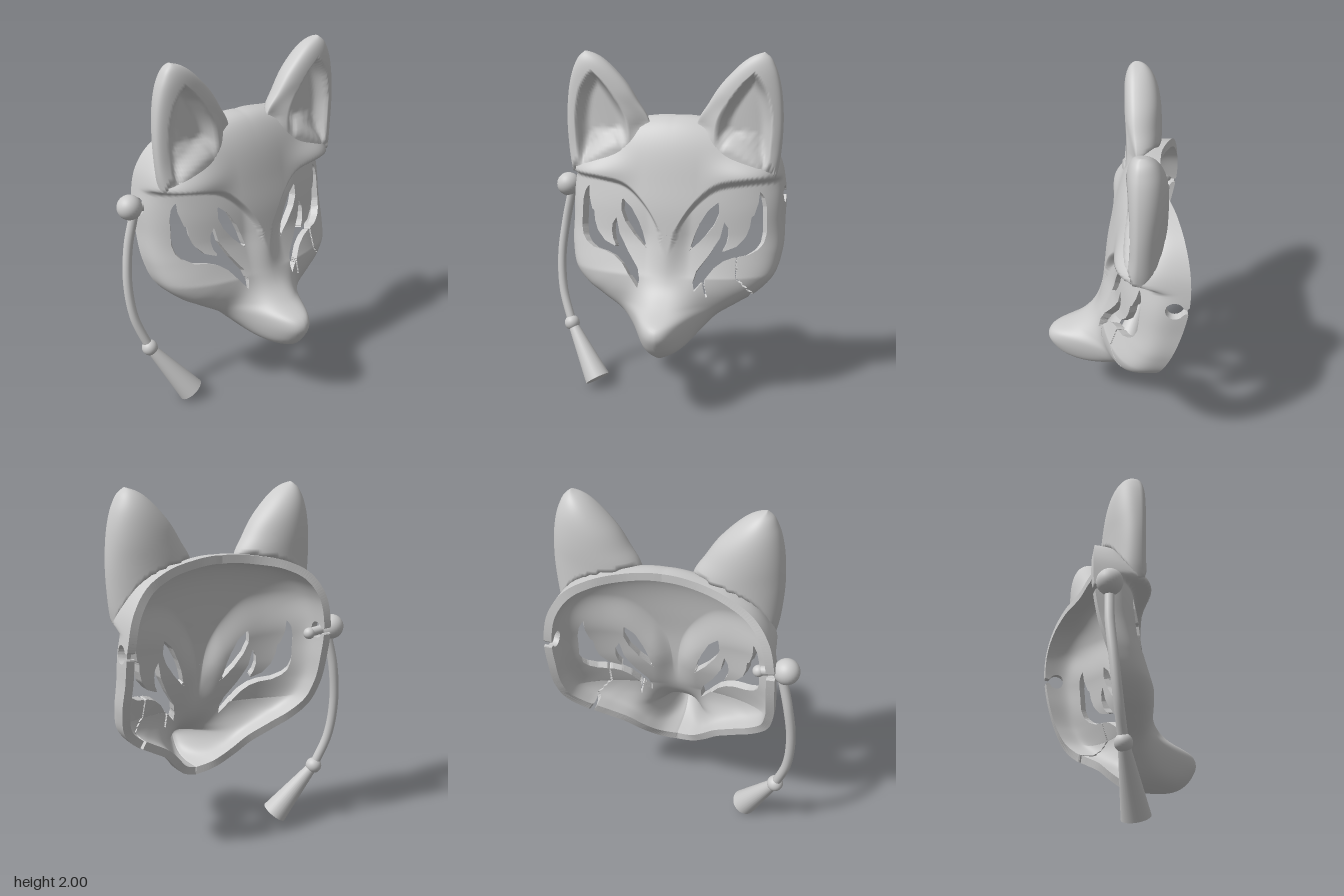
import * as THREE from 'three';
import { mergeVertices } from 'three/addons/utils/BufferGeometryUtils.js';

const MID = 0.06; // x of the mask's symmetry plane
const CY = 1.0; // height of the mask's centre
const WALL = 0.045; // shell thickness
const grey = new THREE.MeshStandardMaterial({ color: 0xcccccc });
const { smoothstep, lerp, clamp } = THREE.MathUtils;

// Smooth lookup through [key, a, b] points with ascending keys
function table(points) {
  const s = new THREE.CatmullRomCurve3(points.map(([k, a, b = 0]) => new THREE.Vector3(k, a, b))).getPoints(240);
  return (key) => {
    let lo = 0, hi = s.length - 1;
    while (hi - lo > 1) {
      const m = (lo + hi) >> 1;
      if (s[m].x <= key) lo = m; else hi = m;
    }
    const t = clamp((key - s[lo].x) / (s[hi].x - s[lo].x || 1), 0, 1);
    return { a: lerp(s[lo].y, s[hi].y, t), b: lerp(s[lo].z, s[hi].z, t) };
  };
}

// Rim of the mask from crown to chin: half width, height, depth
const rim = table([
  [0, 1.64, -0.24], [0.2, 1.625, -0.26], [0.37, 1.59, -0.31], [0.5, 1.52, -0.345], [0.585, 1.4, -0.37],
  [0.62, 1.25, -0.375], [0.625, 1.05, -0.345], [0.62, 0.87, -0.29], [0.585, 0.75, -0.24], [0.5, 0.66, -0.19],
  [0.4, 0.6, -0.15], [0.28, 0.53, -0.105], [0.2, 0.455, -0.06], [0.1, 0.365, 0.01], [0, 0.328, 0.05],
].map(([x, y, z]) => [Math.atan2(x, y - CY), Math.hypot(x, y - CY), z]));

// Centre-line depth by height, and brow height by distance from the middle
const profile = table([[0.33, 0.4], [0.43, 0.415], [0.5, 0.415], [0.55, 0.38], [0.61, 0.23], [0.68, 0.135],
  [0.76, 0.09], [0.92, 0.06], [1.13, 0.037], [1.29, 0.01], [1.5, -0.02], [1.65, -0.05]]);
const brow = table([[0, 0.9], [0.03, 0.97], [0.06, 1.06], [0.15, 1.19], [0.26, 1.28], [0.4, 1.31], [0.63, 1.325]]);

// Depth of the face before it rolls back into the side walls; the lining has no brow bulge and a softer step
function faceDepth(dx, y, lining = false) {
  const c = profile(y).a, base = Math.min(c, 0.09);
  const muzzle = (c - base) * Math.exp(-Math.pow(dx / 0.16, 2.7));
  const below = brow(dx).a - y;
  const step = lining ? smoothstep(below, -0.1, 0.15) : smoothstep(below, 0, 0.04);
  const socket = 0.05 * step * smoothstep(y, 0.65, 1) * smoothstep(dx, 0, 0.13);
  const bulge = lining ? 0 : 0.12 * smoothstep(dx, 0.15, 0.65) * Math.exp(-(((y - 1.33) / 0.1) ** 2)) * (1 - step);
  return base - 0.25 * dx * dx + muzzle - socket + bulge;
}

// Flat disc of radius 2 to mask surface: inner half is the face, outer half the wall
function surface(p, q, lining = false) {
  const r = Math.hypot(p, q);
  const edge = rim(Math.atan2(Math.abs(p), q));
  const k = r <= 1 ? r : 2 - r;
  const major = 1 / Math.pow(1 + k ** 4, 0.25), minor = k * major;
  const [rho, h] = r <= 1 ? [minor, major] : [major, minor];
  const s = r > 0 ? (rho * edge.a) / r : 0;
  const x = p * s, y = CY + q * s;
  return new THREE.Vector3(x, y, edge.b + (faceDepth(Math.abs(x), y, lining) - edge.b) * h);
}

function innerSurface(p, q) {
  const e = 0.01, o = surface(p, q, true);
  const u = surface(p + e, q, true).sub(surface(p - e, q, true));
  const v = surface(p, q + e, true).sub(surface(p, q - e, true));
  return o.addScaledVector(u.cross(v).normalize(), -WALL);
}

// Depth of the mask seen straight from the front
function frontDepth(x, y) {
  const edge = rim(Math.atan2(Math.abs(x), y - CY));
  const rho = Math.hypot(x, y - CY) / edge.a;
  return rho >= 1 ? -9 : edge.b + (faceDepth(Math.abs(x), y) - edge.b) * Math.pow(1 - rho ** 4, 0.25);
}

// Eye opening with hanging tufts, and the slit beside the nose
const eyeHoles = [
  [[0.496, 1.236], [0.522, 1.2], [0.535, 1.146], [0.54, 0.997], [0.528, 0.945], [0.5, 0.912], [0.449, 0.886],
    [0.37, 0.875], [0.316, 0.857], [0.265, 0.82], [0.22, 0.762], [0.163, 0.69], [0.153, 0.743], [0.168, 0.8],
    [0.232, 0.886], [0.29, 0.981], [0.311, 1.072], [0.335, 1.03], [0.338, 0.99], [0.327, 0.944], [0.3, 0.902],
    [0.38, 0.932], [0.43, 0.985], [0.45, 1.04], [0.456, 1.095], [0.47, 1.1], [0.491, 1.172]],
  [[0.279, 1.183], [0.221, 1.135], [0.175, 1.06], [0.15, 1.0], [0.121, 0.907], [0.2, 0.98], [0.255, 1.05], [0.282, 1.114]],
];
const cracks = [
  [[0.385, 0.89], [0.39, 0.76], [0.415, 0.735], [0.472, 0.665], [0.44, 0.6]],
  [[0.215, 0.77], [0.213, 0.72], [0.229, 0.66]],
];

function segmentDistance(x, y, [ax, ay], [bx, by]) {
  const dx = bx - ax, dy = by - ay;
  const t = clamp(((x - ax) * dx + (y - ay) * dy) / (dx * dx + dy * dy), 0, 1);
  return Math.hypot(x - ax - dx * t, y - ay - dy * t);
}

function outsidePolygon(x, y, poly) {
  let d = 9, inside = false;
  poly.forEach((a, i) => {
    const b = poly[(i + 1) % poly.length];
    d = Math.min(d, segmentDistance(x, y, a, b));
    if (a[1] > y !== b[1] > y && x < a[0] + ((y - a[1]) * (b[0] - a[0])) / (b[1] - a[1])) inside = !inside;
  });
  return inside ? -d : d;
}

// Positive where there is material
function material(p, q) {
  const r = Math.hypot(p, q), { x, y, z } = surface(p, q);
  let f = (2 - r) * 0.3;
  for (const hole of eyeHoles) f = Math.min(f, outsidePolygon(Math.abs(x), y, hole));
  for (const c of cracks) for (let i = 1; i < c.length; i++) f = Math.min(f, segmentDistance(x, y, c[i - 1], c[i]) - 0.006);
  if (r > 1) { // cord hole, slotted through to the rim
    f = Math.min(f, Math.hypot(y - 1.195, z + 0.3) - 0.048);
    if (z < -0.3) f = Math.min(f, Math.abs(y - 1.195) - 0.014);
  }
  return f;
}

function mesh(name, geometry, parent) {
  const m = new THREE.Mesh(geometry, grey);
  m.name = name;
  parent.add(m);
  return m;
}

function fromTriangles(vectors, smooth) {
  let g = new THREE.BufferGeometry().setFromPoints(vectors);
  if (smooth) g = mergeVertices(g, 1e-5);
  g.computeVertexNormals();
  return g;
}

// Shell: a polar grid clipped against the openings, with an inner skin and cut edges
function buildShell(parent) {
  const NA = 280, NR = 96, outer = [], inner = [], edges = [], grid = [];
  for (let j = 0; j <= NR; j++) for (let i = 0; i < NA; i++) {
    const a = (i / NA) * Math.PI * 2, r = 0.002 + (j / NR) * 2.02;
    const p = r * Math.cos(a), q = r * Math.sin(a);
    grid.push({ p, q, f: material(p, q) });
  }
  const clip = (tri) => {
    const poly = [];
    tri.forEach((a, i) => {
      const b = tri[(i + 1) % 3];
      if (a.f >= 0) poly.push(a);
      if (a.f >= 0 !== b.f >= 0) {
        const t = a.f / (a.f - b.f);
        poly.push({ p: lerp(a.p, b.p, t), q: lerp(a.q, b.q, t), cut: a.f >= 0 ? 1 : 2 });
      }
    });
    const o = poly.map((v) => surface(v.p, v.q)), n = poly.map((v) => innerSurface(v.p, v.q));
    for (let i = 2; i < poly.length; i++) {
      outer.push(o[0], o[i - 1], o[i]);
      inner.push(n[0], n[i], n[i - 1]);
    }
    const a = poly.findIndex((v) => v.cut === 1), b = poly.findIndex((v) => v.cut === 2);
    if (a >= 0 && b >= 0) edges.push(o[b], o[a], n[a], o[b], n[a], n[b]);
  };
  for (let j = 0; j < NR; j++) for (let i = 0; i < NA; i++) {
    const k = (i + 1) % NA;
    const [a, b, c, d] = [grid[j * NA + i], grid[(j + 1) * NA + i], grid[(j + 1) * NA + k], grid[j * NA + k]];
    clip([a, b, c]);
    clip([a, c, d]);
  }
  mesh('maskFace', fromTriangles(outer, true), parent);
  mesh('maskLining', fromTriangles(inner, true), parent);
  mesh('maskEdges', fromTriangles(edges, false), parent);
}

// Ear outline and hollow by height: inner side, outer side
const earInner = table([[1.3, 0.26], [1.4, 0.17], [1.5, 0.13], [1.62, 0.14], [1.72, 0.2], [1.82, 0.265], [1.94, 0.38], [1.98, 0.44], [2, 0.5]]);
const earOuter = table([[1.3, 0.58], [1.4, 0.6], [1.6, 0.615], [1.77, 0.605], [1.87, 0.585], [1.925, 0.565], [1.97, 0.54], [2, 0.505]]);
const hollow = table([[1.3, 0.47, 0.5], [1.37, 0.33, 0.535], [1.45, 0.28, 0.545], [1.53, 0.255, 0.553], [1.63, 0.265, 0.555],
  [1.77, 0.345, 0.53], [1.85, 0.41, 0.485], [1.89, 0.45, 0.45], [2, 0.5, 0.4]]);

function earGeometry(side) {
  const N = 96, ROWS = 50, pos = [], index = [];
  for (let j = 0; j <= ROWS; j++) {
    const y = 1.3 + 0.7 * Math.sin((j / ROWS) * Math.PI / 2);
    const xi = earInner(y).a, xo = earOuter(y).a, cav = hollow(y);
    const t = Math.max(0, (y - 1.62) / 0.38);
    const front = 0.07 * Math.sqrt(Math.max(0, 1 - t ** 6)) + 0.015 * smoothstep(1.5 - y, 0, 0.2);
    const back = 0.14 * Math.sqrt(Math.max(0, 1 - t ** 3));
    const depth = 0.08 * smoothstep(y, 1.32, 1.45), skirt = smoothstep(1.78 - y, 0, 0.25);
    for (let i = 0; i < N; i++) {
      const a = (i / N) * Math.PI * 2, s = Math.sin(a);
      const x = (xi + xo) / 2 + ((xo - xi) / 2) * Math.cos(a);
      const skin = frontDepth(x, y) - 0.02; // the base stops inside the shell
      let z = -0.125 + (s > 0 ? front * Math.pow(s, 0.7) : back * s);
      if (s > 0) {
        // Inner side fades into the forehead, foot fades into the brow
        z = lerp(z, Math.max(skin, -0.125), skirt * (1 - smoothstep(x - xi, 0, 0.15)));
        if (skin > -0.125) z = lerp(skin, z, smoothstep(y, 1.3, 1.4));
        // Hollow with a rounded pad low in it
        const inset = clamp(Math.min(x - cav.a, cav.b - x) / 0.07, 0, 1);
        const pad = 0.025 * Math.sqrt(Math.max(0, 1 - ((x - 0.4) ** 2 + (y - 1.44) ** 2) / 0.0144));
        z = Math.min(z, Math.max(z - depth * inset * (2 - inset), skin + 0.024) + pad);
      }
      z = j === 0 && skin > -1 ? skin : Math.max(z, skin);
      pos.push(side * x, y, z);
      if (j < ROWS) {
        const p = j * N + i, q = j * N + ((i + 1) % N);
        if (side > 0) index.push(p, p + N, q, q, p + N, q + N);
        else index.push(p, q, p + N, q, q + N, p + N);
      }
    }
  }
  const g = new THREE.BufferGeometry();
  g.setAttribute('position', new THREE.Float32BufferAttribute(pos, 3));
  g.setIndex(index);
  g.computeVertexNormals();
  return g;
}

// Cylinder or cone between two points
function rod(name, from, to, r0, r1, parent) {
  const a = new THREE.Vector3(...from), d = new THREE.Vector3(...to).sub(a);
  const m = mesh(name, new THREE.CylinderGeometry(r1, r0, d.length(), 28), parent);
  m.position.copy(a).addScaledVector(d, 0.5);
  m.quaternion.setFromUnitVectors(new THREE.Vector3(0, 1, 0), d.normalize());
}

function ball(name, at, r, parent) {
  mesh(name, new THREE.SphereGeometry(r, 28, 18), parent).position.set(...at);
}

export function createModel() {
  const model = new THREE.Group();
  model.name = 'foxMask';
  const mask = new THREE.Group();
  mask.name = 'mask';
  mask.position.x = MID;
  model.add(mask);
  buildShell(mask);
  mesh('leftEar', earGeometry(1), mask);
  mesh('rightEar', earGeometry(-1), mask);

  // Hanging cord with beads and tassel on the right side
  const cord = new THREE.Group();
  cord.name = 'cord';
  model.add(cord);
  ball('cordBead', [-0.617, 1.2, -0.305], 0.07, cord);
  rod('cordPin', [-0.6, 1.195, -0.3], [-0.48, 1.18, -0.3], 0.025, 0.025, cord);
  ball('innerKnob', [-0.47, 1.175, -0.3], 0.032, cord);
  const path = new THREE.CatmullRomCurve3([[-0.597, 1.15, -0.3], [-0.638, 0.97, -0.308], [-0.664, 0.76, -0.293],
    [-0.65, 0.546, -0.265], [-0.587, 0.35, -0.22]].map((p) => new THREE.Vector3(...p)));
  mesh('cordStrand', new THREE.TubeGeometry(path, 40, 0.026, 14), cord);
  ball('tasselBead', [-0.587, 0.35, -0.22], 0.046, cord);
  rod('tassel', [-0.587, 0.35, -0.22], [-0.396, 0.048, -0.1], 0.028, 0.076, cord);
  return model;
}
